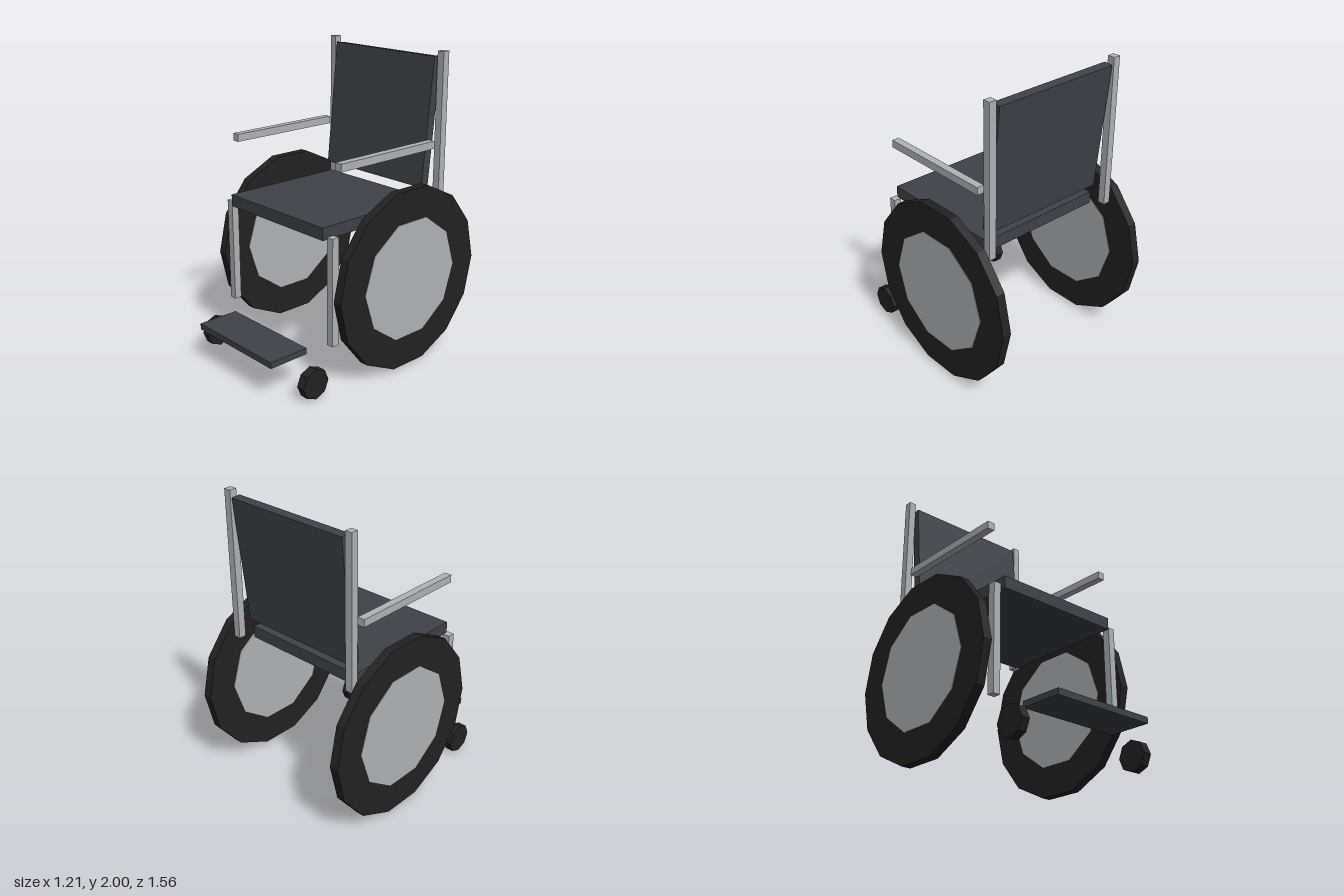
import * as THREE from 'three';

export function createModel() {
  const model = new THREE.Group();
  model.name = 'wheelchair';

  const material = (name, color) => {
    const m = new THREE.MeshStandardMaterial({ color, flatShading: true });
    m.name = name;
    return m;
  };
  const upholstery = material('slate upholstery', 0x3c434a);
  const metal = material('grey metal', 0xafb4b8);
  const rubber = material('black rubber', 0x222222);

  const add = (name, geometry, mat, x, y, z) => {
    const mesh = new THREE.Mesh(geometry, mat);
    mesh.name = name;
    mesh.position.set(x, y, z);
    model.add(mesh);
    return mesh;
  };
  const box = (name, mat, [w, h, d], [x, y, z]) =>
    add(name, new THREE.BoxGeometry(w, h, d), mat, x, y, z);
  // Disc with its axle along x and a corner pointing forward
  const disc = (name, mat, radius, width, sides, [x, y, z]) =>
    add(name, new THREE.CylinderGeometry(radius, radius, width, sides).rotateZ(Math.PI / 2), mat, x, y, z);

  // Seat, reclined backrest and footrest
  box('seat', upholstery, [0.89, 0.08, 0.89], [0, 1.015, -0.011]);
  box('backrest', upholstery, [0.89, 0.843, 0.06], [0, 1.541, -0.494]).rotation.x = -0.1;
  box('footrest', upholstery, [0.726, 0.04, 0.283], [0, 0.245, 0.637]);

  for (const [side, s] of [['left', 1], ['right', -1]]) {
    // Frame tubes
    box(`${side} back post`, metal, [0.05, 1, 0.05], [s * 0.489, 1.5, -0.537]);
    box(`${side} front leg`, metal, [0.05, 0.7, 0.05], [s * 0.489, 0.65, 0.393]);
    box(`${side} armrest`, metal, [0.05, 0.05, 0.81], [s * 0.489, 1.418, -0.052]);

    // Large wheel, with a hub disc slightly proud of the tyre on both faces
    disc(`${side} tyre`, rubber, 0.607, 0.06, 14, [s * 0.571, 0.61, -0.173]);
    disc(`${side} hub`, metal, 0.405, 0.066, 10, [s * 0.571, 0.61, -0.173]);

    // Small front wheel
    disc(`${side} caster`, rubber, 0.101, 0.058, 8, [s * 0.489, 0.101, 0.556]);
  }
  return model;
}
